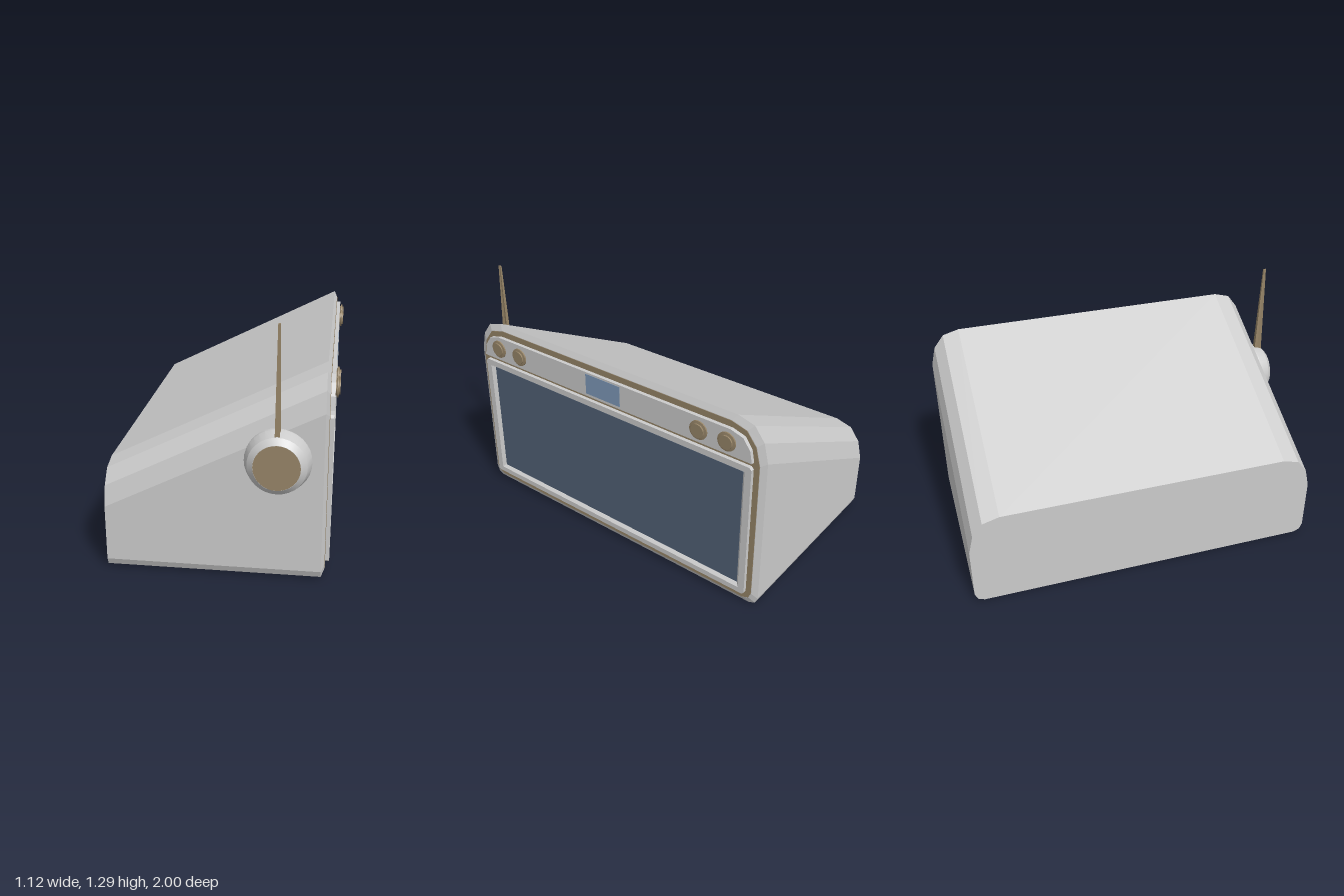
import * as THREE from 'three';
import { toCreasedNormals } from 'three/addons/utils/BufferGeometryUtils.js';

const mat = (color) => new THREE.MeshStandardMaterial({ color });
const grey = mat(0xcccccc), brown = mat(0x978568), glass = mat(0x526176), blue = mat(0x7e99b9);
const MID = 0.045; // middle of the cabinet, measured along -z

// Flat-shaded skin through matching rings (counter-clockwise seen from the last ring)
function loft(rings, caps = true) {
  const pos = [];
  const tri = (...pts) => pts.forEach((p) => pos.push(...p));
  const centre = (ring) => [0, 1, 2].map((k) => ring.reduce((s, p) => s + p[k], 0) / ring.length);
  const n = rings[0].length;
  for (let r = 0; r < rings.length - 1; r++) {
    const a = rings[r], b = rings[r + 1];
    for (let i = 0; i < n; i++) {
      const j = (i + 1) % n;
      tri(a[i], a[j], b[j]);
      tri(a[i], b[j], b[i]);
    }
  }
  if (caps) {
    const first = rings[0], last = rings[rings.length - 1];
    const c0 = centre(first), c1 = centre(last);
    for (let i = 0; i < n; i++) {
      const j = (i + 1) % n;
      tri(c0, first[j], first[i]);
      tri(c1, last[i], last[j]);
    }
  }
  const g = new THREE.BufferGeometry();
  g.setAttribute('position', new THREE.Float32BufferAttribute(pos, 3));
  g.computeVertexNormals();
  return g;
}

// Mirrors the right half of an outline (bottom to top) about the cabinet middle
const mirrored = (half) => [
  ...half.map(([h, y]) => [MID + h, y]),
  ...half.slice().reverse().map(([h, y]) => [MID - h, y]),
];

// Cabinet cross-section at x; the sloping roof lowers only the upper points
function section(x, inset, drop) {
  const H = 0.955, V = 0.5325;
  const half = [[0.905, 0], [0.94, 0.015], [H, 0.05], [H, 0.865], [0.93, 0.968], [0.875, 1.04], [0.785, 1.065]];
  return mirrored(half).map(([s, y]) => {
    const ss = MID + (s - MID) * (H - inset) / H;
    const yy = V + (y - V) * (V - inset) / V - (y > 0.5 ? drop : 0);
    return [x, yy, -ss];
  });
}

// Chamfered rectangle around the cabinet middle
const rect = (h, y0, y1, c) => mirrored([[h - c, y0], [h, y0 + c], [h, y1 - c], [h - c, y1]]);

// Plate standing on the display side between x0 and x1, with an optional hole
function plate(outline, x0, x1, hole) {
  const toVec = (pts) => pts.map(([s, y]) => new THREE.Vector2(s, y));
  const shape = new THREE.Shape(toVec(outline));
  if (hole) shape.holes.push(new THREE.Path(toVec(hole)));
  const g = new THREE.ExtrudeGeometry(shape, { depth: x1 - x0, bevelEnabled: false });
  return g.rotateY(Math.PI / 2).translate(x0, 0, 0);
}

export function createModel() {
  const model = new THREE.Group();
  const add = (name, geometry, material, parent = model) => {
    const mesh = new THREE.Mesh(geometry, material);
    mesh.name = name;
    parent.add(mesh);
    return mesh;
  };

  // Wedge cabinet with a bevelled display edge
  add('cabinet', loft([section(-0.56, 0, 0.53), section(0.5, 0, 0), section(0.516, 0.03, 0)]), grey);
  add('trimBacking', loft([section(0.51, 0.032, 0), section(0.518, 0.032, 0)]), brown);

  // Screen surround, sloping recess and glass
  const opening = rect(0.857, 0.1, 0.802, 0.001);
  const inner = rect(0.84, 0.115, 0.788, 0.001);
  add('screenFrame', plate(rect(0.893, 0.07, 0.835, 0.012), 0.515, 0.538, opening), grey);
  const at = (pts, x) => pts.map(([s, y]) => [x, y, -s]);
  const recessMaterial = mat(0xcccccc);
  recessMaterial.side = THREE.DoubleSide;
  add('screenRecess', loft([at(inner, 0.52), at(opening, 0.538)], false), recessMaterial);
  add('screen', plate(inner, 0.51, 0.522), glass);

  // Control strip with small display
  const strip = mirrored([[0.893, 0.86], [0.88, 0.925], [0.84, 0.98], [0.77, 1.0]]);
  add('controlStrip', plate(strip, 0.515, 0.538), grey);
  add('statusDisplay', new THREE.BoxGeometry(0.01, 0.115, 0.228).translate(0.5345, 0.932, -0.038), blue);

  // Four stepped knobs
  for (const z of [0.718, 0.558, -0.643, -0.803]) {
    const knob = new THREE.Group();
    knob.name = 'knob';
    knob.position.set(0.536, 0.934, z);
    knob.rotation.z = -Math.PI / 2;
    const profile = [[0, 0], [0.04, 0], [0.04, 0.006], [0.05, 0.008], [0.05, 0.015], [0.036, 0.017], [0.036, 0.024], [0, 0.024]];
    const g = new THREE.LatheGeometry(profile.map((p) => new THREE.Vector2(...p)), 24);
    add('knobBody', toCreasedNormals(g, 0.5), brown, knob);
    model.add(knob);
  }

  // Round aerial mount on the side
  const mount = new THREE.Group();
  mount.name = 'aerialMount';
  mount.position.set(0.285, 0.625, 0.9);
  mount.rotation.x = Math.PI / 2;
  const domeProfile = [[0.16, 0], [0.16, 0.02], [0.141, 0.075], [0.112, 0.1], [0, 0.1]];
  const dome = new THREE.LatheGeometry(domeProfile.map((p) => new THREE.Vector2(...p)), 32);
  add('mountDome', toCreasedNormals(dome, 0.35), grey, mount);
  add('mountCap', new THREE.CylinderGeometry(0.111, 0.111, 0.004, 32).translate(0, 0.0985, 0), brown, mount);
  model.add(mount);

  // Tapered aerial with a waisted cross-section
  const aerialRing = (y, w, d) => [[-1, -1], [1, -1], [0.5, 0], [1, 1], [-1, 1], [-0.5, 0]]
    .map(([u, v]) => [0.285 + u * w, y, 0.949 - v * d]);
  add('aerial', loft([aerialRing(0.74, 0.013, 0.022), aerialRing(1.29, 0.005, 0.007)]), brown);

  return model;
}
